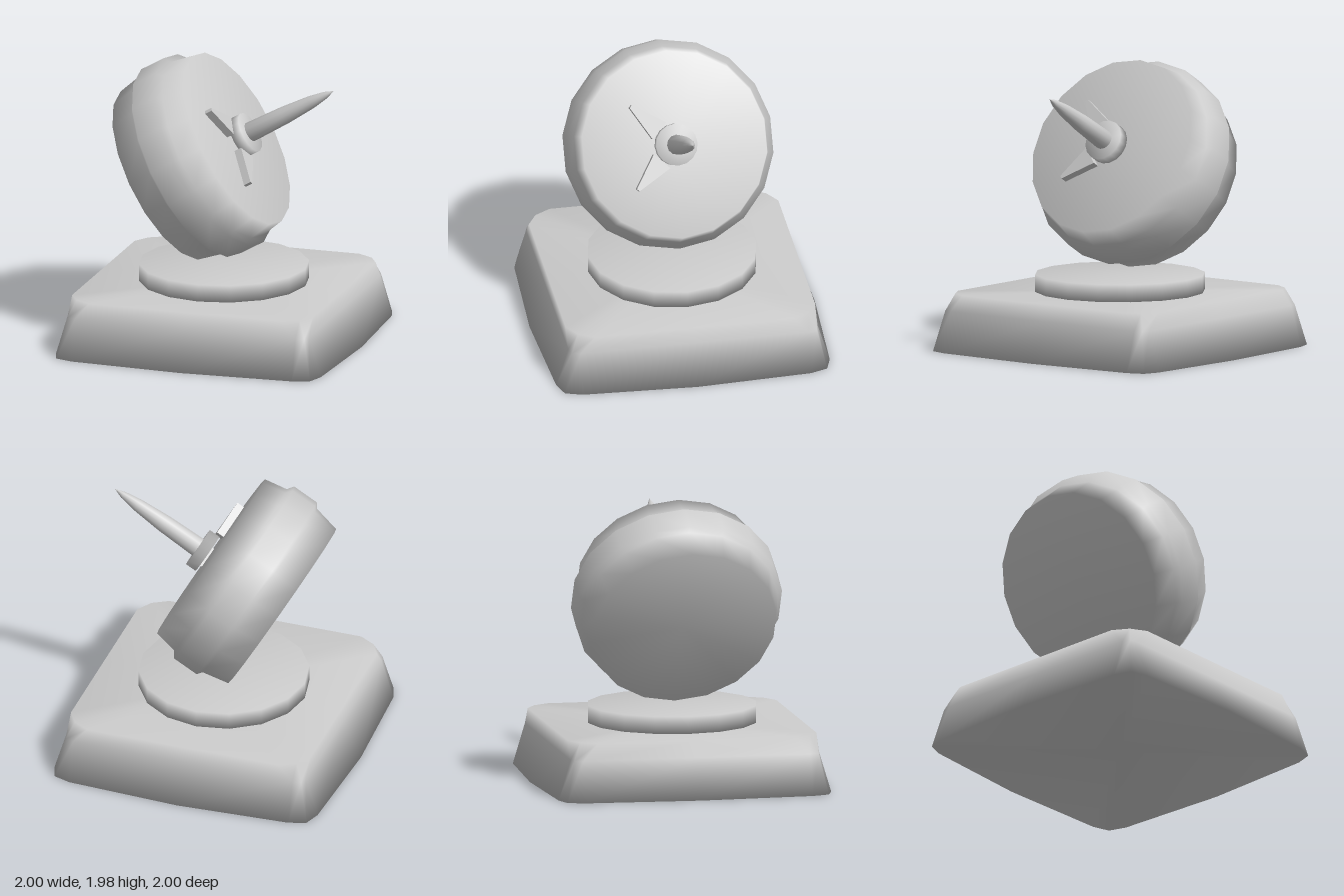
import * as THREE from 'three';

const material = new THREE.MeshStandardMaterial({ color: 0xcccccc });

function add(parent, geometry, name) {
  const mesh = new THREE.Mesh(geometry, material);
  mesh.name = name;
  parent.add(mesh);
  return mesh;
}

// Turned solid from [radius, height] pairs, listed bottom to top
function turned(profile, sides) {
  const points = profile.map(([r, y]) => new THREE.Vector2(r, y));
  return new THREE.LatheGeometry(points, sides, Math.PI / 2);
}

// Closed loft through rounded-square rings: [y, middle, edge, corner start, corner]
function squareLoft(rings) {
  const positions = [];
  const index = [];
  const n = 16;
  for (const [y, middle, edge, start, corner] of rings) {
    const quarter = [[middle, 0], [edge, start], [corner, corner], [start, edge]];
    for (let q = 0; q < 4; q++) {
      const c = Math.round(Math.cos(q * Math.PI / 2));
      const s = Math.round(Math.sin(q * Math.PI / 2));
      for (const [x, z] of quarter) positions.push(x * c - z * s, y, x * s + z * c);
    }
  }
  const bottom = rings.length * n;
  const top = bottom + 1;
  positions.push(0, rings[0][0], 0, 0, rings[rings.length - 1][0], 0);
  const last = (rings.length - 1) * n;
  for (let j = 0; j < n; j++) {
    const k = (j + 1) % n;
    for (let r = 0; r < last; r += n) {
      index.push(r + j, r + n + j, r + k, r + k, r + n + j, r + n + k);
    }
    index.push(bottom, j, k, top, last + k, last + j);
  }
  const geometry = new THREE.BufferGeometry();
  geometry.setAttribute('position', new THREE.Float32BufferAttribute(positions, 3));
  geometry.setIndex(index);
  geometry.computeVertexNormals();
  return geometry;
}

export function createModel() {
  const model = new THREE.Group();
  model.name = 'tiltedDialOnStand';

  // Flared square base and round pedestal
  add(model, squareLoft([
    [0, 1, 0.96, 0.8, 0.92],
    [0.28, 0.875, 0.875, 0.8, 0.86],
    [0.4, 0.875, 0.875, 0.7, 0.81],
  ]), 'base');
  add(model, turned([[0, 0.4], [0.59, 0.4], [0.59, 0.52], [0, 0.52]], 16), 'pedestal');

  // Tilted head: its own y axis is the axis of the drum
  const head = new THREE.Group();
  head.name = 'head';
  head.position.set(-0.425, 1.117, 0);
  head.rotation.z = -Math.PI / 3;
  model.add(head);

  add(head, turned([
    [0, 0], [0.65, 0], [0.69, 0.19], [0.725, 0.215],
    [0.725, 0.405], [0.68, 0.437], [0.65, 0.6], [0, 0.6],
  ], 18), 'drum');
  add(head, turned([[0, 0.63], [0.145, 0.63], [0.145, 0.71], [0, 0.71]], 16), 'hub');
  add(head, turned([
    [0, 0.69], [0.07, 0.7], [0.062, 1.0], [0.045, 1.22], [0.025, 1.34], [0, 1.41],
  ], 12), 'spike');

  // Two tapered hands, 45 degrees either side of the z axis
  const outline = new THREE.Shape([
    [0.15, -0.075], [0.41, -0.012], [0.41, 0.012], [0.15, 0.075],
  ].map(([x, y]) => new THREE.Vector2(x, y)));
  for (const side of [-1, 1]) {
    const geometry = new THREE.ExtrudeGeometry(outline, { depth: 0.055, bevelEnabled: false });
    geometry.rotateX(-Math.PI / 2);
    geometry.rotateY(-Math.PI / 2 + side * Math.PI / 4);
    geometry.translate(0, 0.607, 0);
    add(head, geometry, side < 0 ? 'upperHand' : 'lowerHand');
  }
  return model;
}
